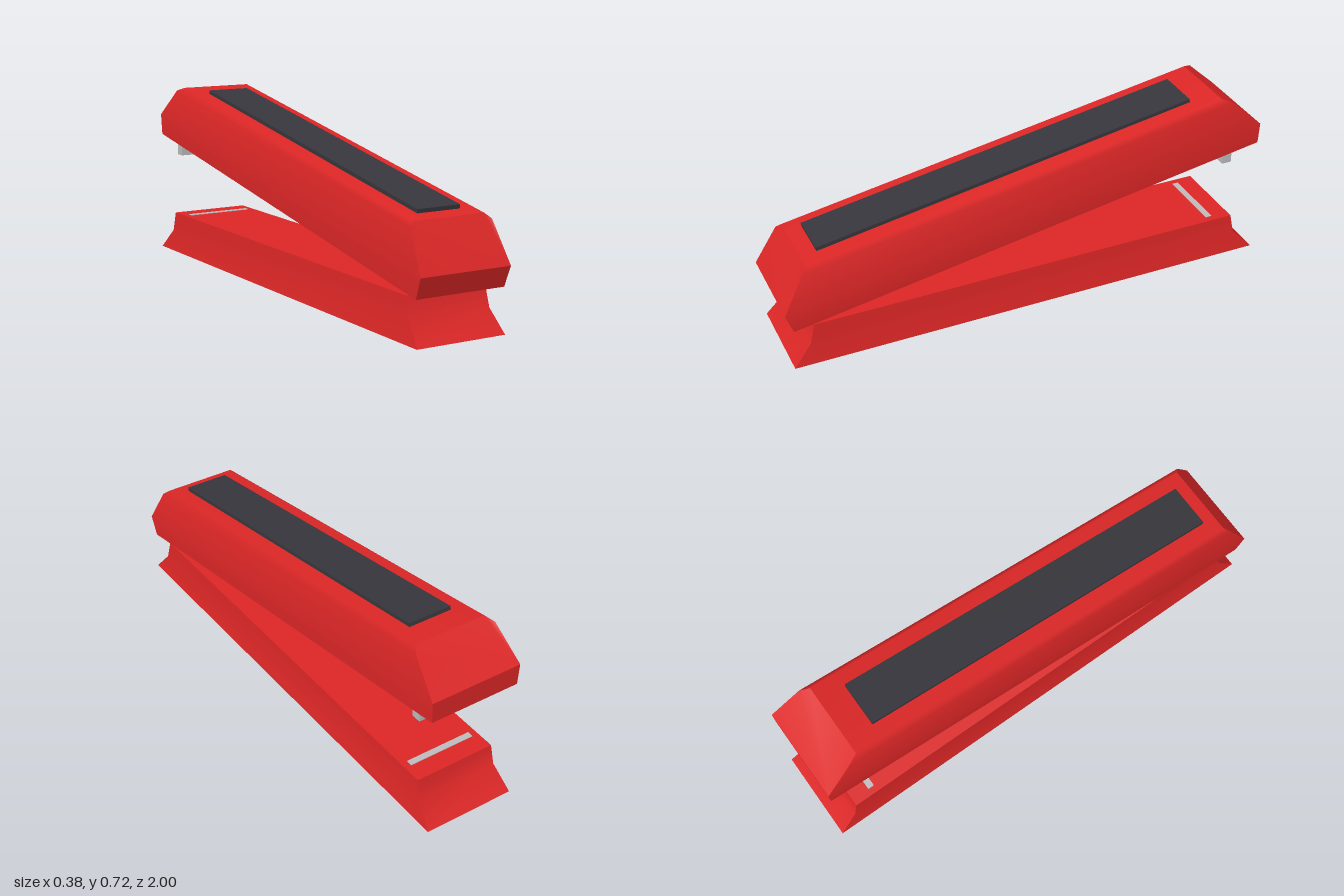
import * as THREE from 'three';
import { mergeGeometries } from 'three/addons/utils/BufferGeometryUtils.js';

function indexed(points, index) {
  const g = new THREE.BufferGeometry();
  g.setAttribute('position', new THREE.Float32BufferAttribute(points.flat(), 3));
  g.setIndex(index);
  g.computeVertexNormals();
  return g;
}

// Smooth skin between two matching lines of points (a on the left, b on the right, running upward)
function skin(a, b) {
  const n = a.length, index = [];
  for (let i = 0; i < n - 1; i++) index.push(i, n + i, n + i + 1, i, n + i + 1, i + 1);
  return indexed([...a, ...b], index);
}

// Flat polygon, corners counter-clockwise from outside
function face(points) {
  const index = [];
  for (let i = 1; i < points.length - 1; i++) index.push(0, i, i + 1);
  return indexed(points, index);
}

// Arm cross-section: half profile of [x, y, z], bottom to top, mirrored to the other side
const ring = half => [...half, ...half.map(([x, y, z]) => [-x, y, z]).reverse()];

function armGeometry() {
  const front = ring([[0.186, 0.17, 0.97], [0.19, 0.25, 1.0], [0.17, 0.404, 0.914], [0.15, 0.423, 0.895]]);
  const back = ring([[0.186, 0.505, -0.985], [0.19, 0.592, -0.987], [0.17, 0.707, -0.862], [0.15, 0.72, -0.825]]);
  const pick = (r, ids) => ids.map(i => r[i]);
  return mergeGeometries([
    skin(front, back),
    skin(pick(front, [7, 0]), pick(back, [7, 0])),
    face(front.slice(1, 7)),
    face(pick(front, [0, 1, 6, 7])),
    face(back.slice(1, 7).reverse()),
    face(pick(back, [7, 6, 1, 0])),
  ]);
}

function baseGeometry() {
  // [half width, y, front z, back z]
  const levels = [[0.187, 0, 0.98, -1.0], [0.171, 0.085, 0.908, -0.918], [0.167, 0.165, 0.887, -0.902]];
  const corner = (sx, front) => levels.map(([x, y, zf, zb]) => [sx * x, y, front ? zf : zb]);
  const loop = [corner(-1, true), corner(1, true), corner(1, false), corner(-1, false)];
  return mergeGeometries([
    ...loop.map((line, i) => skin(line, loop[(i + 1) % 4])),
    face(loop.map(line => line[2])),
    face(loop.map(line => line[0]).reverse()),
  ]);
}

export function createModel() {
  const red = new THREE.MeshStandardMaterial({ color: 0xdc2626 });
  red.name = 'red shell';
  const dark = new THREE.MeshStandardMaterial({ color: 0x36363c });
  dark.name = 'dark grip';
  const steel = new THREE.MeshStandardMaterial({ color: 0xbcbabc });
  steel.name = 'steel';

  const model = new THREE.Group();
  model.name = 'stapler';
  const add = (name, geometry, material, x = 0, y = 0, z = 0) => {
    const mesh = new THREE.Mesh(geometry, material);
    mesh.name = name;
    mesh.position.set(x, y, z);
    model.add(mesh);
    return mesh;
  };

  add('base', baseGeometry(), red);
  add('upperArm', armGeometry(), red);

  // Grip pad, slightly sunk into the sloping top
  const pad = add('gripPad', new THREE.BoxGeometry(0.18, 0.03, 1.573), dark, 0, 0.5675, 0.059);
  pad.rotation.x = Math.atan2(0.267, 1.55);

  // Staple driver under the raised end, and the plate it strikes
  add('stapleDriver', new THREE.BoxGeometry(0.32, 0.1, 0.04), steel, 0, 0.475, -0.864);
  add('strikePlate', new THREE.BoxGeometry(0.28, 0.006, 0.026), steel, 0, 0.164, -0.814);

  return model;
}
